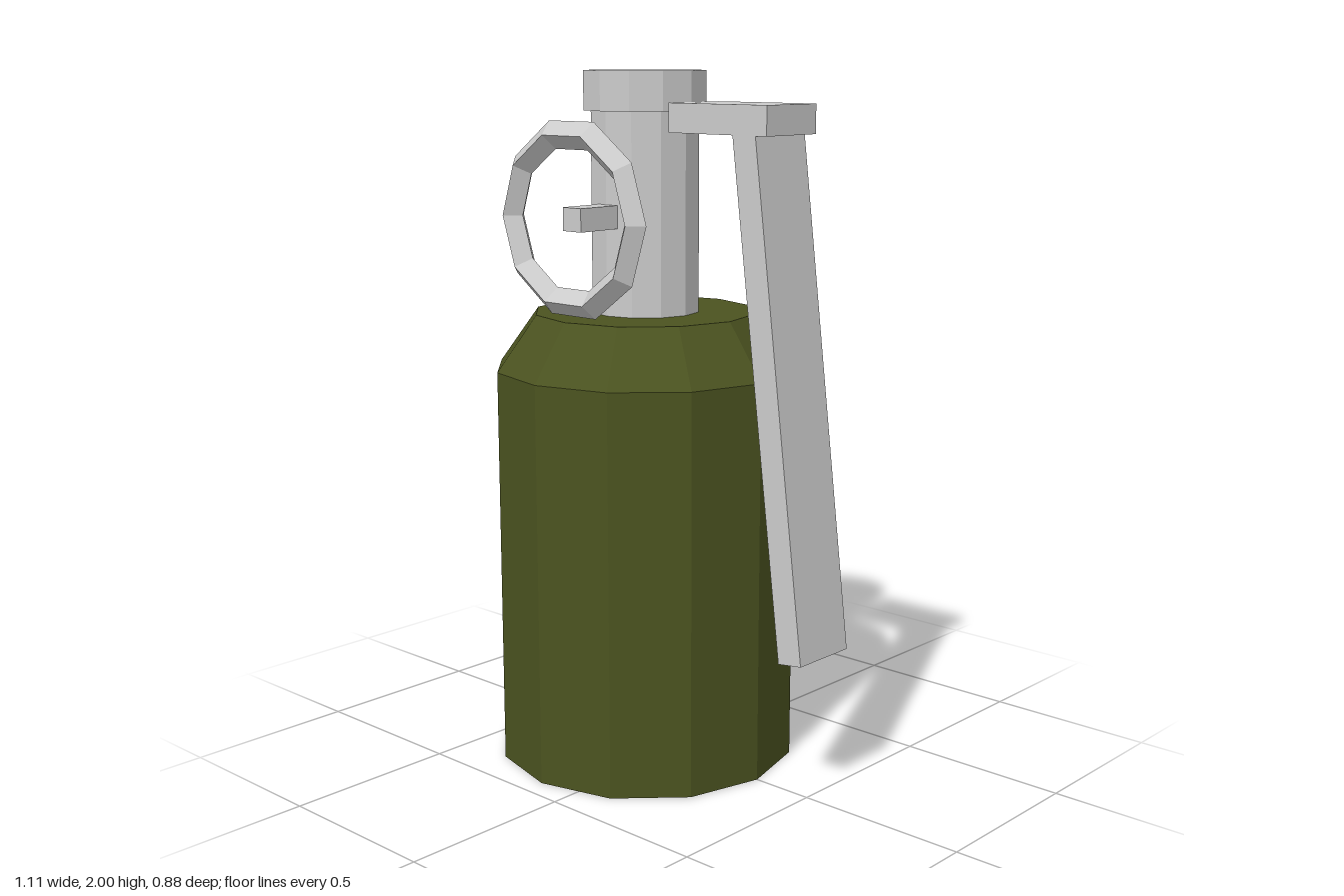
import * as THREE from 'three';

const SIDES = 12;
const BODY_X = -0.12; // axis of the canister, offset to leave room for the lever

export function createModel() {
  const model = new THREE.Group();
  model.name = 'canisterWithLever';

  const green = new THREE.MeshStandardMaterial({ color: 0x4b5320, flatShading: true });
  const grey = new THREE.MeshStandardMaterial({ color: 0xcccccc, flatShading: true });

  const add = (name, geometry, material, x, y, z = 0) => {
    const mesh = new THREE.Mesh(geometry, material);
    mesh.name = name;
    mesh.position.set(x, y, z);
    model.add(mesh);
    return mesh;
  };

  // Canister with sloped shoulder, closed at both ends
  const profile = [[0, 0], [0.438, 0], [0.438, 1.16], [0.323, 1.32], [0, 1.32]]
    .map(([r, y]) => new THREE.Vector2(r, y));
  add('body', new THREE.LatheGeometry(profile, SIDES), green, BODY_X, 0);

  // Neck and cap
  add('neck', new THREE.CylinderGeometry(0.157, 0.157, 0.6, SIDES), grey, BODY_X, 1.6);
  add('cap', new THREE.CylinderGeometry(0.178, 0.178, 0.11, SIDES), grey, BODY_X, 1.945);

  // Lever: flat top plate and long tilted arm
  add('leverTop', new THREE.BoxGeometry(0.345, 0.08, 0.205), grey, 0.24, 1.875);
  const arm = add('leverArm', new THREE.BoxGeometry(0.078, 1.46, 0.205), grey, 0.422, 1.145);
  arm.rotation.z = 0.125;

  // Pin and pull ring on the front of the neck
  add('pin', new THREE.BoxGeometry(0.07, 0.065, 0.19), grey, BODY_X, 1.6, 0.195);
  add('pullRing', new THREE.TorusGeometry(0.24, 0.04, 4, 10), grey, BODY_X, 1.6, 0.288);

  return model;
}
